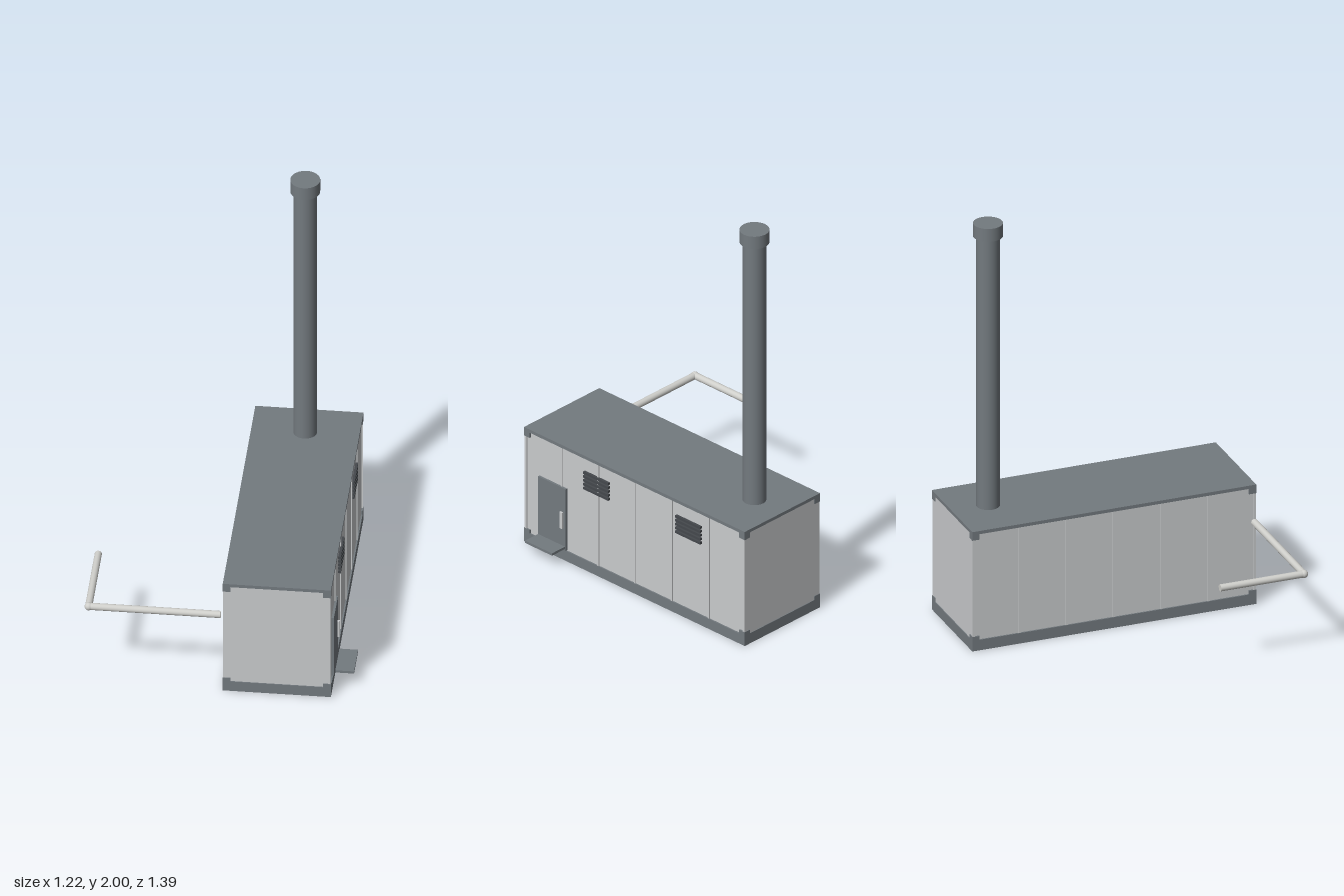
import * as THREE from 'three';

const mat = (name, color) => Object.assign(new THREE.MeshStandardMaterial({ color }), { name });

export function createModel() {
  const wall = mat('light grey panel', 0xc9cbcd);
  const steel = mat('slate grey steel', 0x737a7f);
  const dark = mat('dark louvre', 0x45494d);
  const pipe = mat('pale pipe', 0xcfcfcb);

  const model = new THREE.Group();
  model.name = 'boilerContainer';

  const add = (name, geometry, material, x, y, z) => {
    const mesh = new THREE.Mesh(geometry, material);
    mesh.name = name;
    mesh.position.set(x, y, z);
    model.add(mesh);
    return mesh;
  };
  // Box given by its minimum and maximum on each axis
  const box = (name, material, x0, x1, y0, y1, z0, z1) =>
    add(name, new THREE.BoxGeometry(x1 - x0, y1 - y0, z1 - z0), material,
      (x0 + x1) / 2, (y0 + y1) / 2, (z0 + z1) / 2);

  const L = 0.018, R = 0.51, B = -0.697, F = 0.687;

  // Container shell
  box('base', steel, L, R, 0, 0.052, B, F);
  box('walls', wall, L + 0.007, R - 0.007, 0.052, 0.578, B + 0.004, F - 0.004);
  box('roof', steel, L, R, 0.578, 0.594, B, F);

  // Corner posts and fittings
  for (const x of [L, R - 0.036]) {
    for (const z of [B, F - 0.036]) {
      box('lowerCornerFitting', steel, x, x + 0.036, 0.05, 0.071, z, z + 0.036);
      box('upperCornerFitting', steel, x, x + 0.036, 0.551, 0.58, z, z + 0.036);
    }
  }
  for (const x of [L + 0.001, R - 0.013]) {
    for (const z of [B + 0.002, F - 0.014]) {
      box('cornerPost', wall, x, x + 0.012, 0.06, 0.56, z, z + 0.012);
    }
  }

  // Raised seams between the side panels
  for (let i = 1; i < 6; i++) {
    const z = B + (F - B) * i / 6;
    box('rightPanelSeam', wall, R - 0.012, R - 0.002, 0.052, 0.578, z - 0.005, z + 0.005);
    box('leftPanelSeam', wall, L + 0.002, L + 0.012, 0.052, 0.578, z - 0.005, z + 0.005);
  }

  // Ventilation louvres
  for (const z of [-0.343, 0.233]) {
    for (let i = 0; i < 5; i++) {
      const y = 0.427 + i * 0.02;
      box('louvreSlat', dark, R - 0.01, R + 0.005, y - 0.006, y + 0.006, z - 0.078, z + 0.078);
    }
  }

  // Door with handle, and the step below it
  box('door', steel, R - 0.01, R + 0.004, 0.054, 0.375, 0.422, 0.595);
  box('doorHandle', wall, R + 0.003, R + 0.014, 0.167, 0.25, 0.436, 0.452);
  box('doorStep', steel, R + 0.01, 0.605, 0.068, 0.08, 0.42, 0.589);

  // Chimney
  add('chimney', new THREE.CylinderGeometry(0.054, 0.054, 1.36, 32), steel, 0.264, 1.27, -0.522);
  add('chimneyCap', new THREE.CylinderGeometry(0.068, 0.068, 0.064, 32), steel, 0.264, 1.968, -0.522);

  // Elbowed service pipe
  const r = 0.0165, py = 0.413, elbowX = -0.593, pz = 0.674;
  add('pipeAcross', new THREE.CylinderGeometry(r, r, 0.008 - elbowX, 20), pipe,
    (0.008 + elbowX) / 2, py, pz).rotation.z = Math.PI / 2;
  add('pipeBack', new THREE.CylinderGeometry(r, r, pz - 0.265, 20), pipe,
    elbowX, py, (pz + 0.265) / 2).rotation.x = Math.PI / 2;
  add('pipeElbow', new THREE.SphereGeometry(0.019, 20, 14), pipe, elbowX, py, pz);

  return model;
}
